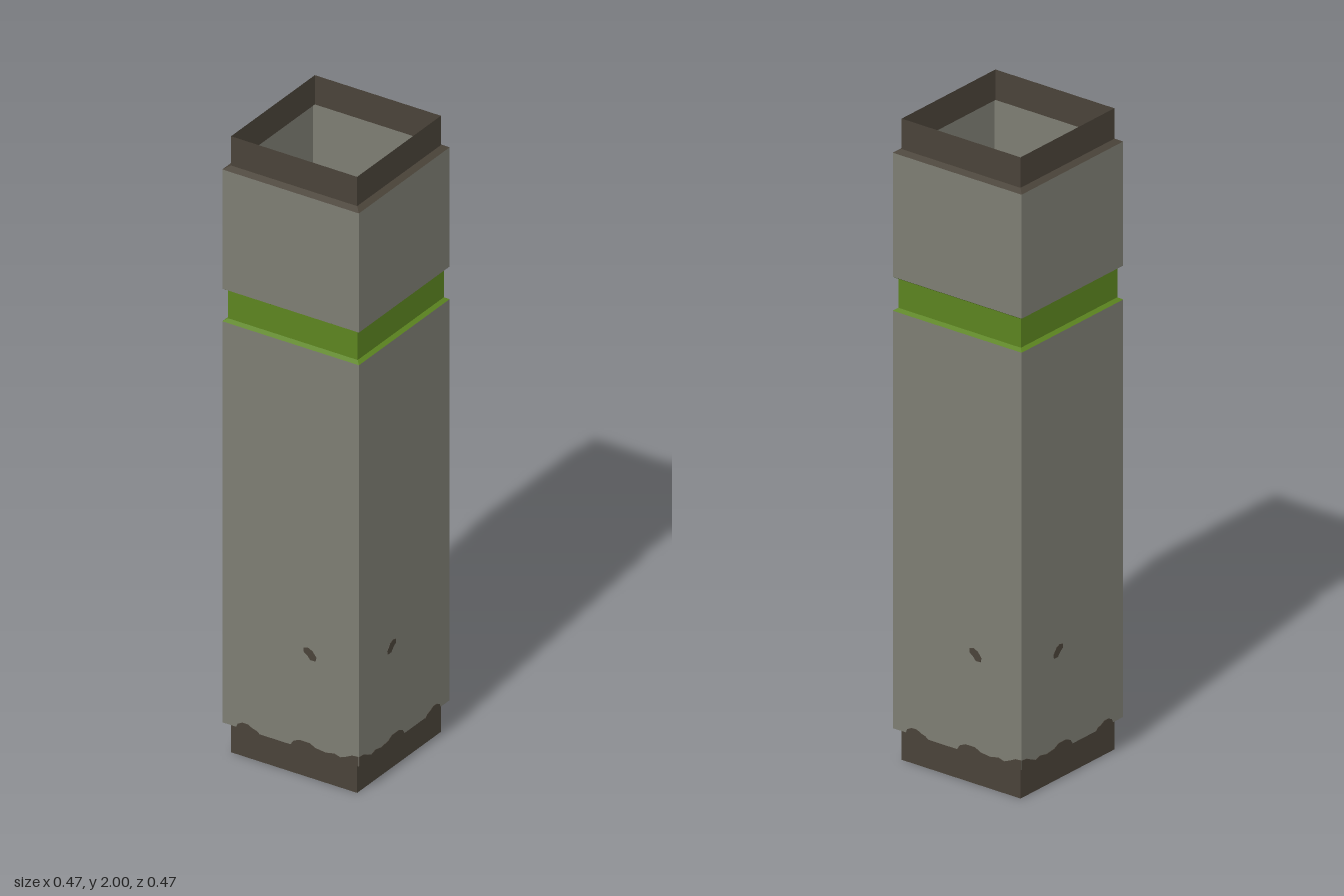
import * as THREE from 'three';

const material = (name, color) => {
  const m = new THREE.MeshStandardMaterial({ color, side: THREE.DoubleSide, flatShading: true });
  m.name = name;
  return m;
};

// Open square sleeve between two heights; a and b are its lower and upper half widths
function sleeve(name, mat, y0, y1, a, b = a) {
  const geo = new THREE.CylinderGeometry(b * Math.SQRT2, a * Math.SQRT2, y1 - y0, 4, 1, true);
  geo.rotateY(Math.PI / 4);
  geo.translate(0, (y0 + y1) / 2, 0);
  const mesh = new THREE.Mesh(geo, mat);
  mesh.name = name;
  return mesh;
}

export function createModel() {
  const stone = material('grey stone', 0x7d7d73);
  const iron = material('dark brown', 0x4a4339);
  const green = material('green', 0x5c8420);
  const RIM = 0.215, BODY = 0.233, BAND = 0.221;

  const pillar = new THREE.Group();
  pillar.name = 'pillar';
  pillar.add(
    sleeve('baseCollar', iron, 0, 0.09, RIM),
    sleeve('baseBevel', iron, 0.09, 0.1, RIM, BODY),
    sleeve('lowerShaft', stone, 0.1, 1.402, BODY),
    sleeve('bandLowerLedge', green, 1.402, 1.41, BODY, BAND),
    sleeve('band', green, 1.41, 1.5, BAND),
    sleeve('bandUpperLedge', green, 1.5, 1.508, BAND, BODY),
    sleeve('upperShaft', stone, 1.508, 1.895, BODY),
    sleeve('topBevel', iron, 1.895, 1.905, BODY, RIM),
    sleeve('topCollar', iron, 1.905, 2, RIM),
  );

  // Worn patches: one chip and ragged stains along the foot of each face
  const patches = [
    [[0.045, 0.428], [0.06, 0.432], [0.075, 0.425], [0.088, 0.408], [0.085, 0.395], [0.068, 0.395], [0.057, 0.408], [0.046, 0.415]],
    [[-0.185, 0.1], [-0.18, 0.112], [-0.165, 0.12], [-0.145, 0.12], [-0.13, 0.112], [-0.115, 0.108], [-0.105, 0.1]],
    [[0.0, 0.1], [0.01, 0.115], [0.03, 0.124], [0.065, 0.124], [0.085, 0.114], [0.12, 0.11], [0.15, 0.116],
      [0.17, 0.11], [0.19, 0.118], [0.21, 0.128], [0.232, 0.13], [0.232, 0.1]],
  ];
  for (let i = 0; i < 4; i++) {
    const side = new THREE.Group();
    side.name = 'wornPatches' + (i + 1);
    const flip = i % 2 ? -1 : 1; // neighbouring faces mirror each other
    for (const points of patches) {
      const shape = new THREE.Shape(points.map(([x, y]) => new THREE.Vector2(x * flip, y)));
      const geo = new THREE.ExtrudeGeometry(shape, { depth: 0.003, bevelEnabled: false });
      const patch = new THREE.Mesh(geo, iron);
      patch.name = 'wornPatch';
      patch.position.z = BODY - 0.0015;
      side.add(patch);
    }
    side.rotation.y = (i * Math.PI) / 2;
    pillar.add(side);
  }
  return pillar;
}
